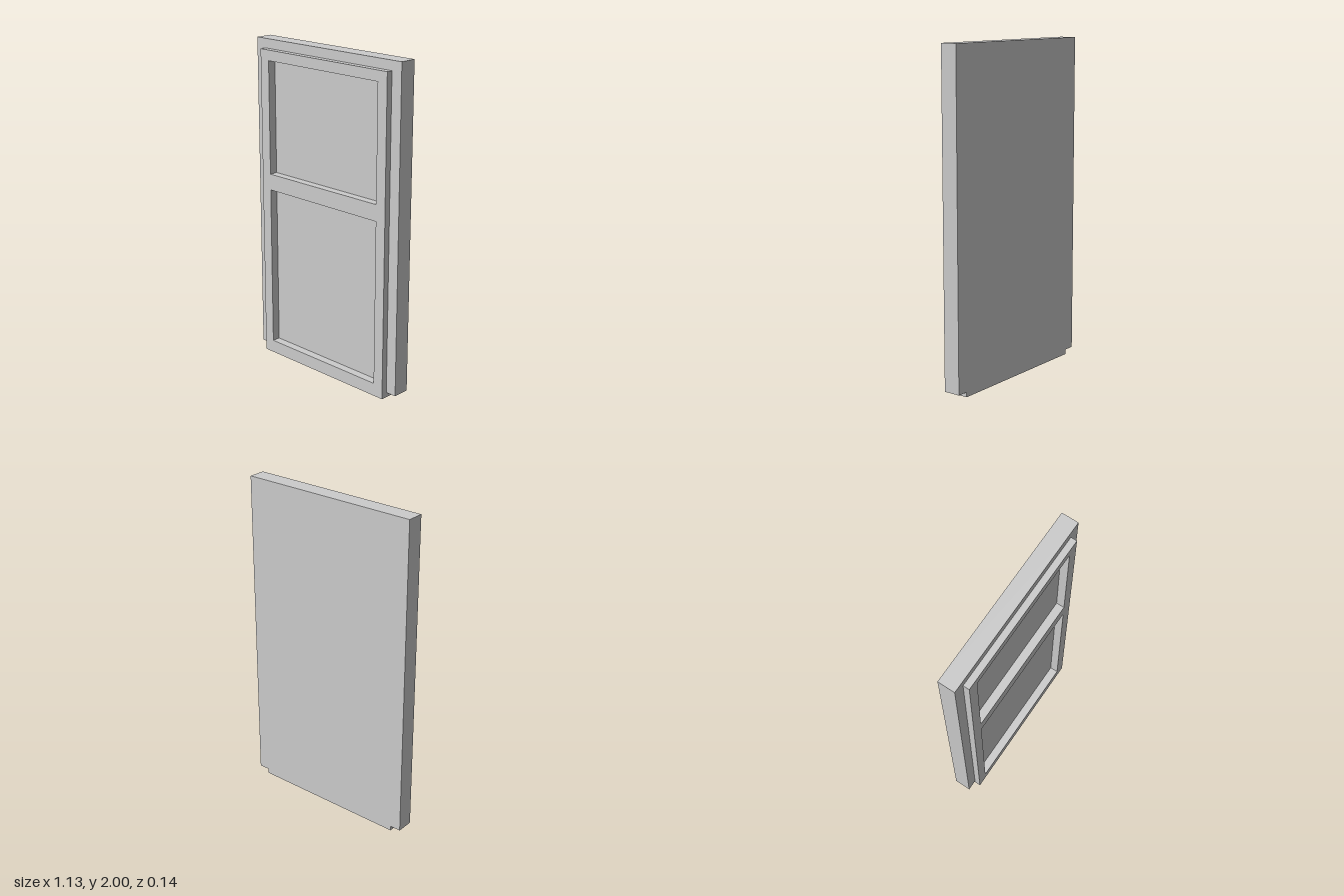
import * as THREE from 'three';

const BACK = -0.071, FRAME_FRONT = 0.033, LEAF_FRONT = 0.071, RECESS = 0.02;
const LEAF_HALF = 0.497, LEAF_TOP = 1.943;

// Closed outline from [x, y] corners
const outline = (points, Type = THREE.Shape) =>
  new Type(points.map(([x, y]) => new THREE.Vector2(x, y)));

const rect = (half, y0, y1, Type) =>
  outline([[-half, y0], [half, y0], [half, y1], [-half, y1]], Type);

export function createModel() {
  const group = new THREE.Group();
  group.name = 'door';
  const material = new THREE.MeshStandardMaterial({ color: 0xcccccc });

  // Extrude a shape between two depths
  const add = (name, shape, z0, z1) => {
    const geometry = new THREE.ExtrudeGeometry(shape, { depth: z1 - z0, bevelEnabled: false });
    geometry.translate(0, 0, z0);
    const mesh = new THREE.Mesh(geometry, material);
    mesh.name = name;
    group.add(mesh);
  };

  // Door frame: two jambs and a head, open at the bottom
  add('doorFrame', outline([
    [-0.565, 0.03], [-LEAF_HALF, 0.03], [-LEAF_HALF, LEAF_TOP], [LEAF_HALF, LEAF_TOP],
    [LEAF_HALF, 0.03], [0.565, 0.03], [0.565, 2], [-0.565, 2],
  ]), BACK, FRAME_FRONT);

  // Door leaf: solid core whose front forms the recessed panels
  add('leafCore', rect(LEAF_HALF, 0, LEAF_TOP), BACK, RECESS);

  // Stiles and rails around the two panels
  const rails = rect(LEAF_HALF, 0, LEAF_TOP);
  for (const [y0, y1] of [[0.08, 1.085], [1.185, 1.88]])
    rails.holes.push(rect(0.43, y0, y1, THREE.Path));
  add('stilesAndRails', rails, RECESS, LEAF_FRONT);

  return group;
}
